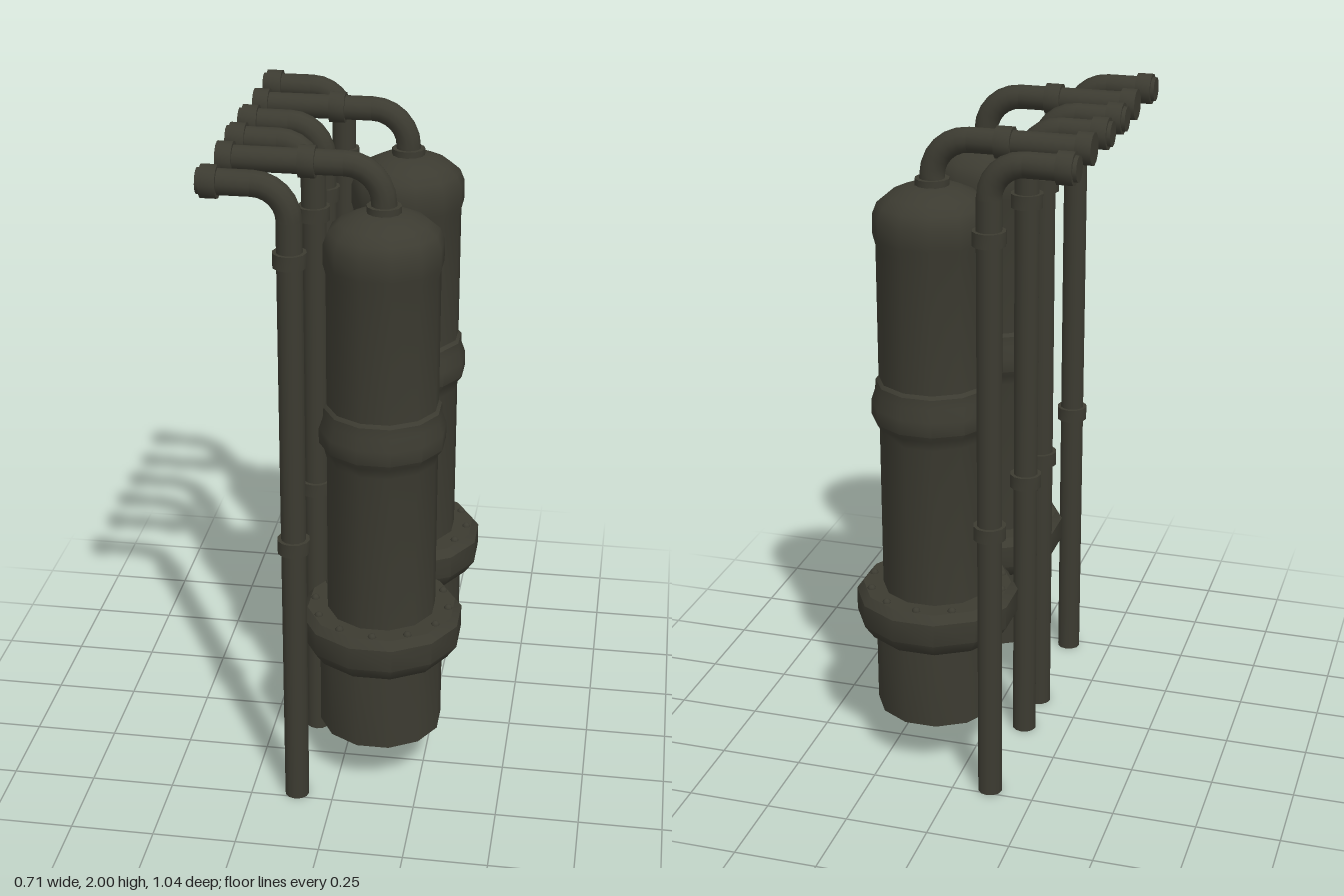
import * as THREE from 'three';
import { toCreasedNormals } from 'three/addons/utils/BufferGeometryUtils.js';

const PIPE_R = 0.037, PIPE_Y = 1.953, TANK_X = 0.117;

export function createModel() {
  const model = new THREE.Group();
  const iron = new THREE.MeshStandardMaterial({ color: 0x3c3b31 });
  iron.name = 'dark olive iron';

  const add = (parent, name, geometry, x = 0, y = 0, z = 0) => {
    const mesh = new THREE.Mesh(geometry, iron);
    mesh.name = name;
    mesh.position.set(x, y, z);
    parent.add(mesh);
    return mesh;
  };
  // Turned part, profile given as [radius, height] from bottom to top
  const lathe = (profile, sides = 12) => toCreasedNormals(
    new THREE.LatheGeometry(profile.map(p => new THREE.Vector2(...p)), sides, Math.PI / sides), 0.65);
  const rod = (r, length, sides = 12) =>
    toCreasedNormals(new THREE.CylinderGeometry(r, r, length, sides), 0.9);

  // Vertical rod between two heights, and horizontal rod between two x positions
  const upright = (g, name, r, x, y0, y1) => add(g, name, rod(r, y1 - y0), x, (y0 + y1) / 2);
  const level = (g, name, r, x0, x1) => {
    add(g, name, rod(r, x1 - x0), (x0 + x1) / 2, PIPE_Y).rotation.z = Math.PI / 2;
  };
  const elbow = (g, x, bend) => add(g, 'elbow',
    new THREE.TorusGeometry(bend, PIPE_R, 12, 6, Math.PI / 2), x - bend, PIPE_Y - bend);

  const bodyGeometry = lathe([
    [0, 0.55], [0.164, 0.55], [0.164, 1.07], [0.172, 1.1], [0.187, 1.12], [0.187, 1.165],
    [0.175, 1.2], [0.173, 1.23], [0.164, 1.24], [0.164, 1.64], [0.172, 1.67], [0.172, 1.73],
    [0.158, 1.765], [0.128, 1.79], [0.085, 1.81], [0.05, 1.818], [0, 1.82]]);
  const baseGeometry = lathe([
    [0, 0.17], [0.187, 0.17], [0.187, 0.42], [0.215, 0.432], [0.245, 0.475],
    [0.245, 0.545], [0.225, 0.57], [0, 0.57]]);
  const boltGeometry = new THREE.SphereGeometry(0.013, 8, 5, 0, Math.PI * 2, 0, Math.PI / 2);

  // Tanks with bolted flange and outlet pipe
  for (const z of [-0.265, 0.265]) {
    const tank = new THREE.Group();
    tank.name = 'tank';
    tank.position.z = z;
    add(tank, 'base', baseGeometry, TANK_X);
    add(tank, 'body', bodyGeometry, TANK_X);
    for (let i = 0; i < 12; i++) {
      const a = i * Math.PI / 6;
      add(tank, 'bolt', boltGeometry, TANK_X + 0.203 * Math.cos(a), 0.569, 0.203 * Math.sin(a));
    }
    upright(tank, 'neckCollar', 0.05, TANK_X, 1.81, 1.837);
    upright(tank, 'neck', PIPE_R, TANK_X, 1.82, PIPE_Y - 0.11);
    elbow(tank, TANK_X, 0.11);
    level(tank, 'outletPipe', PIPE_R, -0.345, TANK_X - 0.11);
    level(tank, 'pipeCoupling', 0.047, -0.12, -0.073);
    level(tank, 'endCoupling', 0.047, -0.35, -0.304);
    model.add(tank);
  }

  // Free-standing pipes, two beside each tank
  for (const z of [-0.474, -0.092, 0.087, 0.474]) {
    const pipe = new THREE.Group();
    pipe.name = 'standPipe';
    pipe.position.z = z;
    const x = -0.112, bend = 0.1;
    upright(pipe, 'riser', PIPE_R, x, 0, PIPE_Y - bend);
    for (const y of [0.864, 1.743]) upright(pipe, 'riserCoupling', 0.048, x, y - 0.021, y + 0.021);
    elbow(pipe, x, bend);
    level(pipe, 'topPipe', PIPE_R, -0.361, x - bend);
    level(pipe, 'endCoupling', 0.047, -0.35, -0.304);
    model.add(pipe);
  }
  return model;
}
